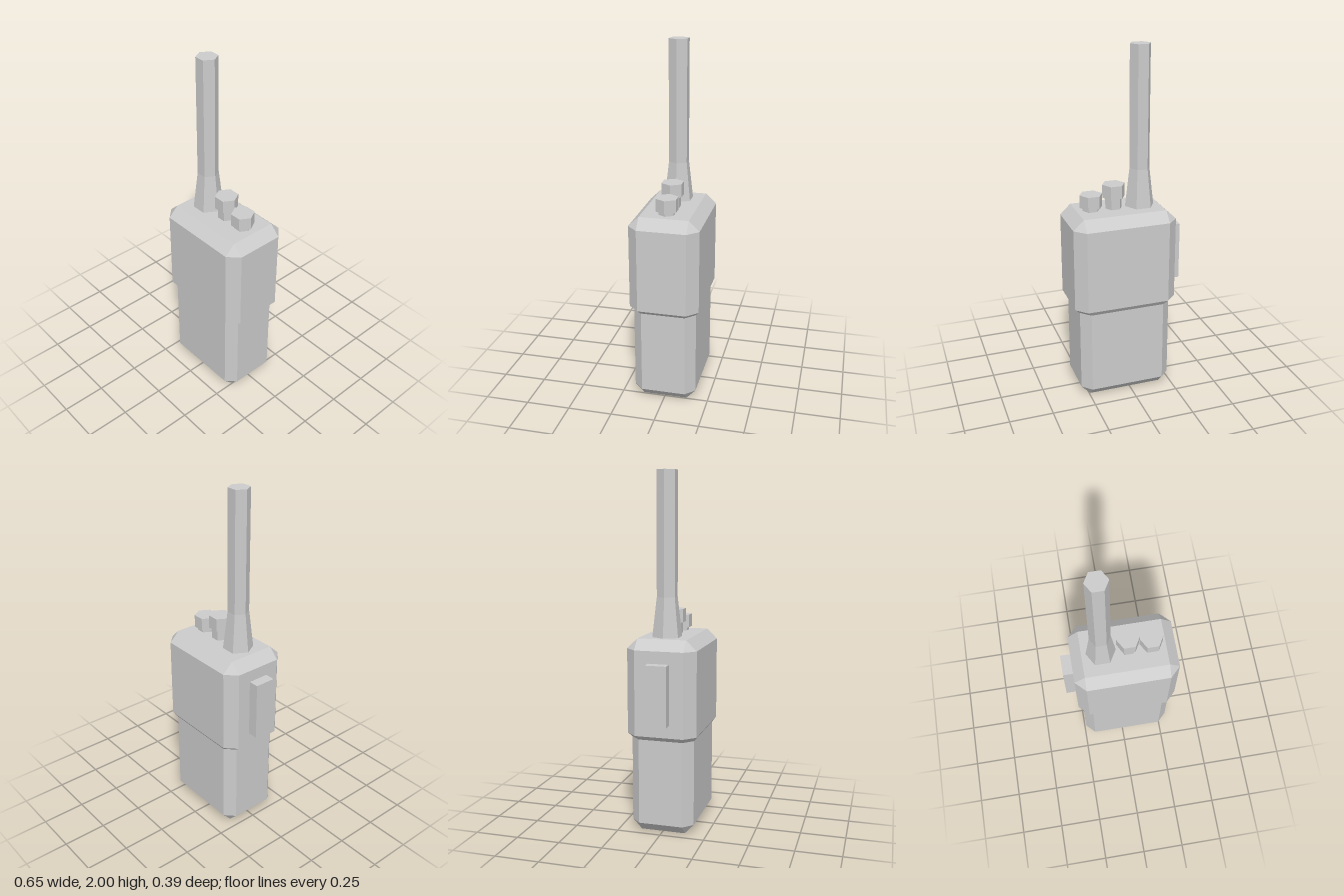
import * as THREE from 'three';

const material = new THREE.MeshStandardMaterial({ color: 0xcccccc, flatShading: true });

// Rectangle with cut corners, counter-clockwise seen from above
function ring([y, w, d, c]) {
  return [
    [-w + c, d], [w - c, d], [w, d - c], [w, -d + c],
    [w - c, -d], [-w + c, -d], [-w, -d + c], [-w, d - c],
  ].map(([x, z]) => new THREE.Vector3(x, y, z));
}

// Closed solid through sections [y, half width, half depth, corner cut]
function loft(sections) {
  const rings = sections.map(ring);
  const positions = [];
  const tri = (a, b, c) => {
    if (new THREE.Triangle(a, b, c).getArea() < 1e-7) return;
    for (const p of [a, b, c]) positions.push(p.x, p.y, p.z);
  };
  for (let s = 0; s < rings.length - 1; s++) {
    const lo = rings[s], hi = rings[s + 1];
    for (let i = 0; i < 8; i++) {
      const j = (i + 1) % 8;
      tri(lo[i], lo[j], hi[j]);
      tri(lo[i], hi[j], hi[i]);
    }
  }
  const bottom = rings[0], top = rings[rings.length - 1];
  for (let i = 1; i < 7; i++) {
    tri(top[0], top[i], top[i + 1]);
    tri(bottom[0], bottom[i + 1], bottom[i]);
  }
  const geometry = new THREE.BufferGeometry();
  geometry.setAttribute('position', new THREE.Float32BufferAttribute(positions, 3));
  geometry.computeVertexNormals();
  return geometry;
}

export function createModel() {
  const model = new THREE.Group();
  model.name = 'handheldRadio';

  const add = (parent, name, geometry, x, y, z = 0) => {
    const mesh = new THREE.Mesh(geometry, material);
    mesh.name = name;
    mesh.position.set(x, y, z);
    parent.add(mesh);
  };

  // Six-sided post with corners on the x axis
  const hexPost = (parent, name, x, y0, y1, r0, r1 = r0) =>
    add(parent, name, new THREE.CylinderGeometry(r1, r0, y1 - y0, 6).rotateY(Math.PI / 2), x, (y0 + y1) / 2);

  // Body: battery section below, wider housing above, chamfered ends
  add(model, 'body', loft([
    [0, 0.215, 0.126, 0],
    [0.055, 0.268, 0.178, 0.053],
    [0.54, 0.268, 0.178, 0.053],
    [0.567, 0.298, 0.197, 0.06],
    [1.043, 0.298, 0.197, 0.06],
    [1.1, 0.238, 0.138, 0],
  ]), 0.028, 0);

  // Antenna: tapered base and straight rod
  const antenna = new THREE.Group();
  antenna.name = 'antenna';
  hexPost(antenna, 'antennaBase', -0.1, 1.1, 1.32, 0.085, 0.059);
  hexPost(antenna, 'antennaRod', -0.1, 1.32, 2, 0.059);
  model.add(antenna);

  // Control knobs on short stems: [x, cap bottom, cap top]
  [[0.053, 1.165, 1.24], [0.184, 1.12, 1.193]].forEach(([x, y0, y1], i) => {
    const knob = new THREE.Group();
    knob.name = i === 0 ? 'tallKnob' : 'shortKnob';
    hexPost(knob, 'knobStem', x, 1.1, y0, 0.048);
    hexPost(knob, 'knobCap', x, y0, y1, 0.065);
    model.add(knob);
  });

  // Talk button on the right side
  add(model, 'talkButton', new THREE.BoxGeometry(0.08, 0.335, 0.12), -0.288, 0.807);

  return model;
}
